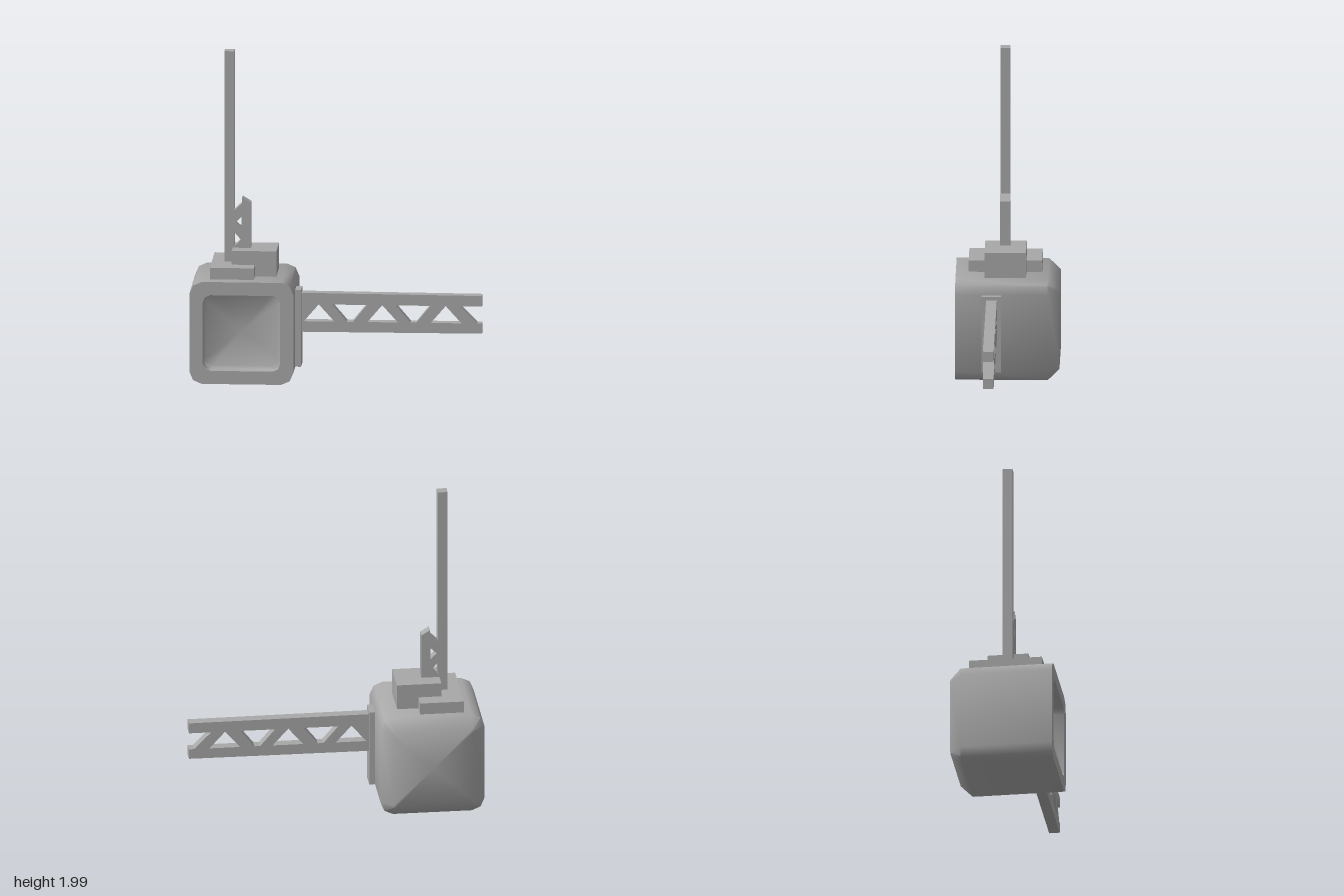
import * as THREE from 'three';
import { toCreasedNormals } from 'three/addons/utils/BufferGeometryUtils.js';

export function createModel() {
  const group = new THREE.Group();
  const grey = new THREE.MeshStandardMaterial({ color: 0xa8a8a8 });
  grey.name = 'plain grey';

  const add = (name, geometry) => {
    const mesh = new THREE.Mesh(geometry, grey);
    mesh.name = name;
    group.add(mesh);
  };
  // Box given by its limits on each axis
  const block = (name, [x0, x1], [y0, y1], [z0, z1]) => add(name,
    new THREE.BoxGeometry(x1 - x0, y1 - y0, z1 - z0)
      .translate((x0 + x1) / 2, (y0 + y1) / 2, (z0 + z1) / 2));
  const points = (list) => list.map(([x, y]) => new THREE.Vector2(x, y));
  // Flat outline with cut-outs, extruded between z0 and z1
  const plate = (name, outline, holes, z0, z1) => {
    const shape = new THREE.Shape(points(outline));
    holes.forEach((h) => shape.holes.push(new THREE.Path(points(h))));
    add(name, new THREE.ExtrudeGeometry(shape, { depth: z1 - z0, bevelEnabled: false }).translate(0, 0, z0));
  };

  // Housing: rounded-square rings lofted from the back, round the rim and into the recess
  const cx = -0.565, cy = 0.32;
  const ring = (half, cut, z) => {
    const pts = [];
    const a = half - cut, m = half - cut * 0.3;
    for (let k = 0; k < 4; k++) {
      const c = Math.round(Math.cos(k * Math.PI / 2)), s = Math.round(Math.sin(k * Math.PI / 2));
      for (const [x, y] of [[half, a], [m, m], [a, half]]) {
        pts.push([cx + c * x - s * y, cy + s * x + c * y, z]);
      }
    }
    return pts;
  };
  const rings = [
    ring(0.245, 0.012, -0.315),
    ring(0.314, 0.075, -0.245),
    ring(0.314, 0.075, 0.312),
    ring(0.233, 0.045, 0.312),
    ring(0.233, 0.045, 0.24),
    ring(0.215, 0.045, 0.225),
  ];
  const pos = [];
  const tri = (...corners) => corners.forEach((p) => pos.push(...p));
  for (let i = 0; i < 12; i++) {
    const j = (i + 1) % 12;
    tri([cx, cy, -0.315], rings[0][j], rings[0][i]);
    for (let r = 0; r < rings.length - 1; r++) {
      const A = rings[r], B = rings[r + 1];
      tri(A[i], A[j], B[j]);
      tri(A[i], B[j], B[i]);
    }
    const floor = rings[rings.length - 1];
    tri([cx, cy, 0.225], floor[i], floor[j]);
  }
  const housing = new THREE.BufferGeometry();
  housing.setAttribute('position', new THREE.Float32BufferAttribute(pos, 3));
  add('housing', toCreasedNormals(housing, 0.9));

  // Stepped mount on the roof with the tall mast
  block('mountBase', [-0.76, -0.495], [0.625, 0.705], [-0.208, 0.235]);
  block('mountBlock', [-0.635, -0.365], [0.625, 0.79], [-0.113, 0.137]);
  block('mast', [-0.685, -0.625], [0.7, 2], [-0.015, 0.046]);

  // Short braced post beside the mast
  plate('mastBrace',
    [[-0.625, 0.78], [-0.525, 0.78], [-0.525, 1.067], [-0.578, 1.1], [-0.578, 1.065], [-0.625, 1.02]],
    [
      [[-0.618, 0.945], [-0.58, 0.91], [-0.58, 0.982]],
      [[-0.624, 0.8], [-0.585, 0.84], [-0.624, 0.885]],
    ], -0.015, 0.046);

  // Side bracket and the lattice arm
  block('armBracket', [-0.255, -0.215], [0.085, 0.557], [0.035, 0.153]);
  const low = 0.36, high = 0.465;
  const holes = [];
  for (let i = 0; i < 3; i++) {
    const x = -0.11 + i * 0.383;
    holes.push([[x - 0.09, low], [x + 0.095, low], [x, high]]);
    if (i < 2) holes.push([[x + 0.08, high], [x + 0.17, low], [x + 0.205, low], [x + 0.29, high]]);
  }
  plate('latticeArm',
    [[-0.22, 0.295], [0.875, 0.298], [0.875, low], [0.845, low], [0.74, high], [0.875, high], [0.875, 0.53], [-0.22, 0.535]],
    holes, 0.06, 0.125);

  return group;
}
